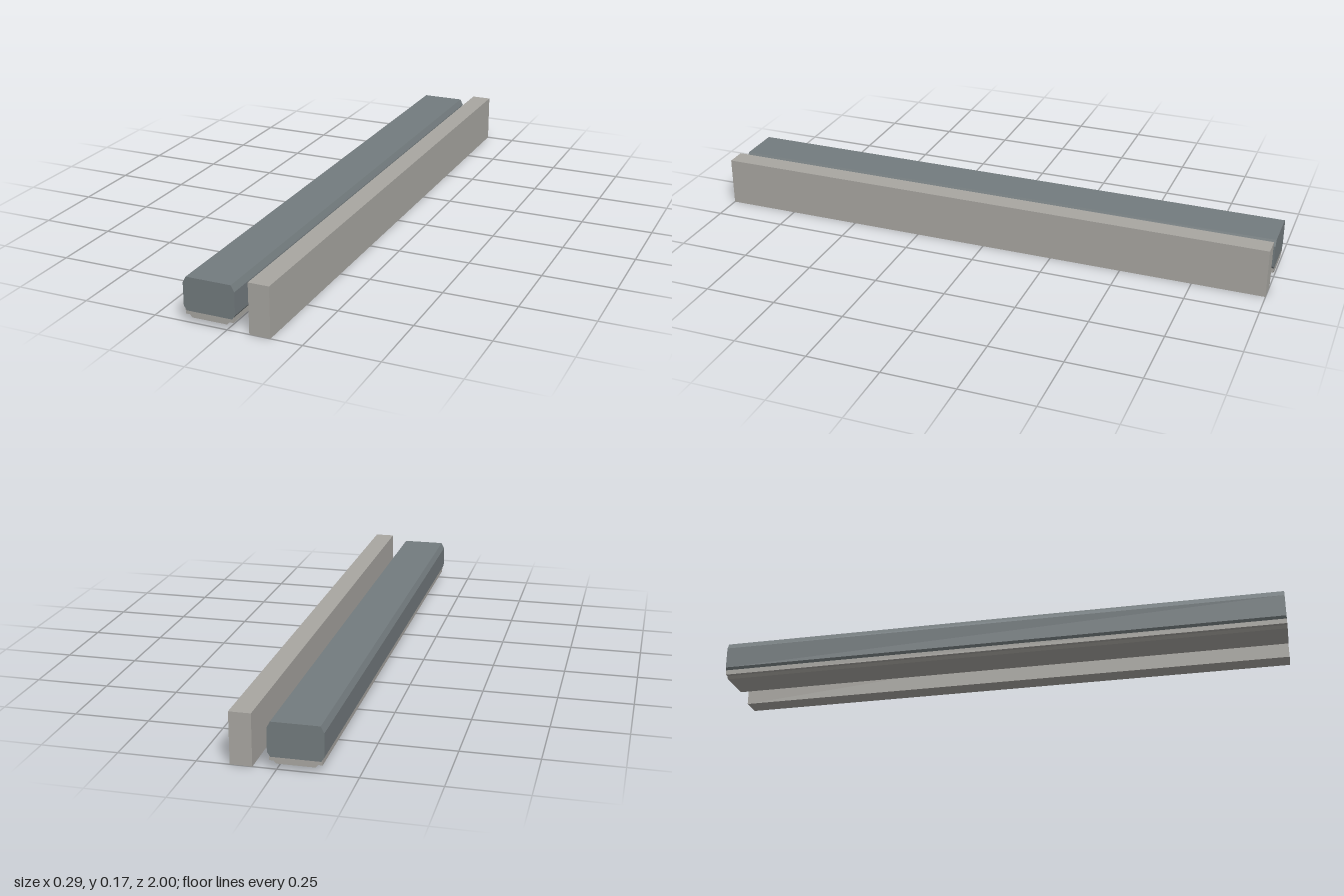
import * as THREE from 'three';

const LENGTH = 2;
const CENTRE = -0.0585; // x of the body's axis of symmetry

// Straight bar along z with the given x/y cross-section
function bar(name, points, material) {
  const shape = new THREE.Shape(points.map(([x, y]) => new THREE.Vector2(x, y)));
  const geometry = new THREE.ExtrudeGeometry(shape, { depth: LENGTH, bevelEnabled: false });
  geometry.translate(0, 0, -LENGTH / 2);
  const mesh = new THREE.Mesh(geometry, material);
  mesh.name = name;
  return mesh;
}

// Symmetric cross-section: right half listed from bottom to top, as offsets from the axis
function mirrored(half) {
  return [...half, ...half.map(([x, y]) => [-x, y]).reverse()].map(([x, y]) => [x + CENTRE, y]);
}

export function createModel() {
  const model = new THREE.Group();
  model.name = 'barPair';
  const slate = new THREE.MeshStandardMaterial({ color: 0x737b7e });
  slate.name = 'slate grey';
  const stone = new THREE.MeshStandardMaterial({ color: 0xa8a6a1 });
  stone.name = 'warm grey';

  // Chamfered main body
  model.add(bar('body', mirrored([
    [0.0775, 0.038], [0.0875, 0.053], [0.0875, 0.129], [0.0765, 0.15],
  ]), slate));

  // Tapered strip under the body
  model.add(bar('underStrip', mirrored([
    [0.0595, 0.018], [0.0675, 0.027], [0.0675, 0.038],
  ]), stone));

  // Narrow lips beside the strip, tucked against the lower chamfers
  const lip = [[0.0675, 0.027], [0.0815, 0.027], [0.0815, 0.044], [0.0775, 0.038], [0.0675, 0.038]];
  for (const side of [1, -1]) {
    const points = lip.map(([x, y]) => [CENTRE + side * x, y]);
    model.add(bar(side > 0 ? 'leftLip' : 'rightLip', points, stone));
  }

  // Free-standing rectangular rail
  const rail = new THREE.Mesh(new THREE.BoxGeometry(0.07, 0.17, LENGTH), stone);
  rail.position.set(0.11, 0.085, 0);
  rail.name = 'sideRail';
  model.add(rail);

  return model;
}
